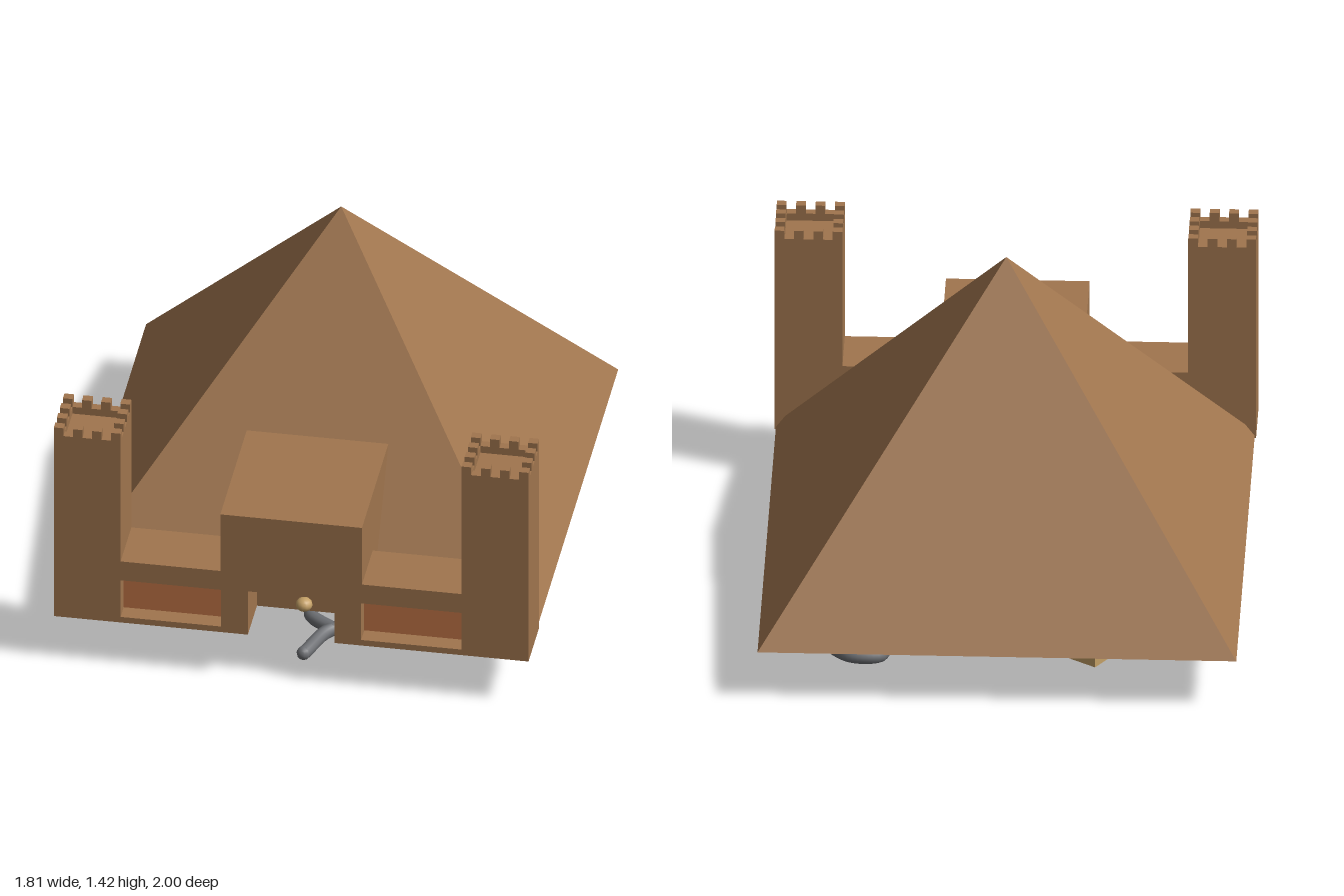
import * as THREE from 'three';

const mat = (name, color, flatShading = false) => {
  const m = new THREE.MeshStandardMaterial({ color, flatShading });
  m.name = name;
  return m;
};

export function createModel() {
  const model = new THREE.Group();
  const stone = mat('sandstone', 0xa0754e);
  const clay = mat('clay', 0xc27547);
  const tan = mat('tan', 0xc4a066);
  const grey = mat('tunnelGrey', 0x6e7074);

  const add = (name, geometry, material, parent = model) => {
    const mesh = new THREE.Mesh(geometry, material);
    mesh.name = name;
    parent.add(mesh);
    return mesh;
  };
  // box given by its limits on each axis
  const box = (name, x0, x1, y0, y1, z0, z1, material, parent) => {
    const g = new THREE.BoxGeometry(x1 - x0, y1 - y0, z1 - z0);
    g.translate((x0 + x1) / 2, (y0 + y1) / 2, (z0 + z1) / 2);
    return add(name, g, material, parent);
  };

  // pyramid
  const pyramid = new THREE.ConeGeometry(0.9 * Math.SQRT2, 1.22, 4, 1).toNonIndexed();
  pyramid.rotateY(Math.PI / 4);
  pyramid.translate(0, 0.82, -0.1);
  pyramid.computeVertexNormals();
  add('pyramid', pyramid, stone);

  // front wall with raised gate, doorway notch and window openings
  const wall = new THREE.Shape([
    [-0.7, 0.2], [-0.165, 0.2], [-0.165, 0.395], [0.165, 0.395], [0.165, 0.2], [0.7, 0.2],
    [0.7, 0.475], [0.27, 0.475], [0.27, 0.73], [-0.27, 0.73], [-0.27, 0.475], [-0.7, 0.475],
  ].map(([x, y]) => new THREE.Vector2(x, y)));
  for (const s of [-1, 1]) {
    wall.holes.push(new THREE.Path([[0.267, 0.225], [0.655, 0.225], [0.655, 0.39], [0.267, 0.39]]
      .map(([x, y]) => new THREE.Vector2(s * x, y))));
  }
  const wallGeometry = new THREE.ExtrudeGeometry(wall, { depth: 0.235, bevelEnabled: false });
  wallGeometry.translate(0, 0, 0.765);
  add('frontWall', wallGeometry, stone);
  box('gateBlock', -0.27, 0.27, 0.2, 0.73, 0.42, 0.8, stone);
  box('passageFloor', -0.165, 0.165, 0.2, 0.3, 0.33, 0.42, stone);

  // towers with battlements
  const W = 0.255, D = 0.235, N = 7;
  for (const s of [-1, 1]) {
    const tower = new THREE.Group();
    tower.name = s > 0 ? 'leftTower' : 'rightTower';
    model.add(tower);
    const x0 = s > 0 ? 0.65 : -0.905, z0 = 0.765, cx = W / N, cz = D / N;
    box('towerBody', x0, x0 + W, 0.2, 0.985, z0, z0 + D, stone, tower);
    for (const k of [0, N - 1]) {
      box('rimSide', x0 + k * cx, x0 + (k + 1) * cx, 0.985, 1.015, z0, z0 + D, stone, tower);
      box('rimEnd', x0 + cx, x0 + W - cx, 0.985, 1.015, z0 + k * cz, z0 + (k + 1) * cz, stone, tower);
    }
    for (let i = 0; i < N; i += 2) {
      for (let j = 0; j < N; j += 2) {
        if (i % (N - 1) && j % (N - 1)) continue;
        box('merlon', x0 + i * cx, x0 + (i + 1) * cx, 1.015, 1.05,
          z0 + j * cz, z0 + (j + 1) * cz, stone, tower);
      }
    }
    // recessed window panel and the room floor behind it
    const p = s > 0 ? 0.26 : -0.66;
    box('windowPanel', p, p + 0.4, 0.22, 0.395, 0.925, 0.933, clay);
    const f = s > 0 ? 0.27 : -0.7;
    box('roomFloor', f, f + 0.43, 0.2, 0.3, 0.5, 0.77, stone);
  }

  // round knob in the doorway
  const knob = add('doorwayKnob', new THREE.SphereGeometry(0.032, 12, 8), tan);
  knob.scale.y = 0.85;
  knob.position.set(0.02, 0.247, 0.83);

  // chamber under the floor, one clay side
  const chamber = add('undergroundChamber', new THREE.BoxGeometry(0.253, 0.132, 0.253),
    [tan, tan, tan, tan, clay, tan]);
  chamber.position.set(-0.3275, 0.146, -0.655);
  chamber.rotation.y = -0.59;

  // winding tunnels, as x and z pairs
  const tunnels = new THREE.Group();
  tunnels.name = 'tunnels';
  model.add(tunnels);
  const R = 0.027, Y = 0.034;
  const tunnel = (name, points) => {
    const v = points.map(([x, z, y = Y]) => new THREE.Vector3(x, y, z));
    const curve = new THREE.CatmullRomCurve3(v, false, 'centripetal');
    add(name, new THREE.TubeGeometry(curve, points.length * 8, R, 10), grey, tunnels);
    for (const end of [v[0], v[v.length - 1]]) {
      add('tunnelEnd', new THREE.SphereGeometry(R, 10, 8), grey, tunnels).position.copy(end);
    }
  };
  tunnel('outerTunnel', [[0.02, 0.84], [0.1, 0.66], [0.33, 0.59], [0.53, 0.5], [0.7, 0.32],
    [0.73, 0.14], [0.67, 0.01], [0.73, -0.07]]);
  tunnel('loopTunnel', [[0.73, -0.07], [0.75, -0.22], [0.75, -0.37], [0.68, -0.55], [0.56, -0.69],
    [0.45, -0.68], [0.45, -0.54], [0.53, -0.42], [0.53, -0.26], [0.61, -0.18], [0.73, -0.13]]);
  tunnel('crossTunnel', [[0.67, 0.01], [0.5, 0.11], [0.37, 0.07], [0.41, -0.06], [0.58, -0.19]]);
  tunnel('innerTunnel', [[0.41, -0.06], [0.38, -0.25], [0.26, -0.35], [0.03, -0.35],
    [-0.13, -0.28], [-0.14, -0.02]]);
  tunnel('middleTunnel', [[0.1, 0.66], [0, 0.57], [0.08, 0.35], [0.19, 0.22], [0.38, 0.1]]);
  tunnel('lowerTunnel', [[0.19, 0.22], [-0.05, 0.21], [-0.15, 0.05], [-0.25, -0.06], [-0.5, -0.01],
    [-0.66, -0.09], [-0.43, -0.21], [-0.27, -0.3], [-0.13, -0.28]]);
  tunnel('chamberTunnel', [[-0.15, 0], [-0.27, -0.19], [-0.4, -0.37], [-0.43, -0.47],
    [-0.39, -0.58, 0.06], [-0.36, -0.62, 0.1]]);

  return model;
}
